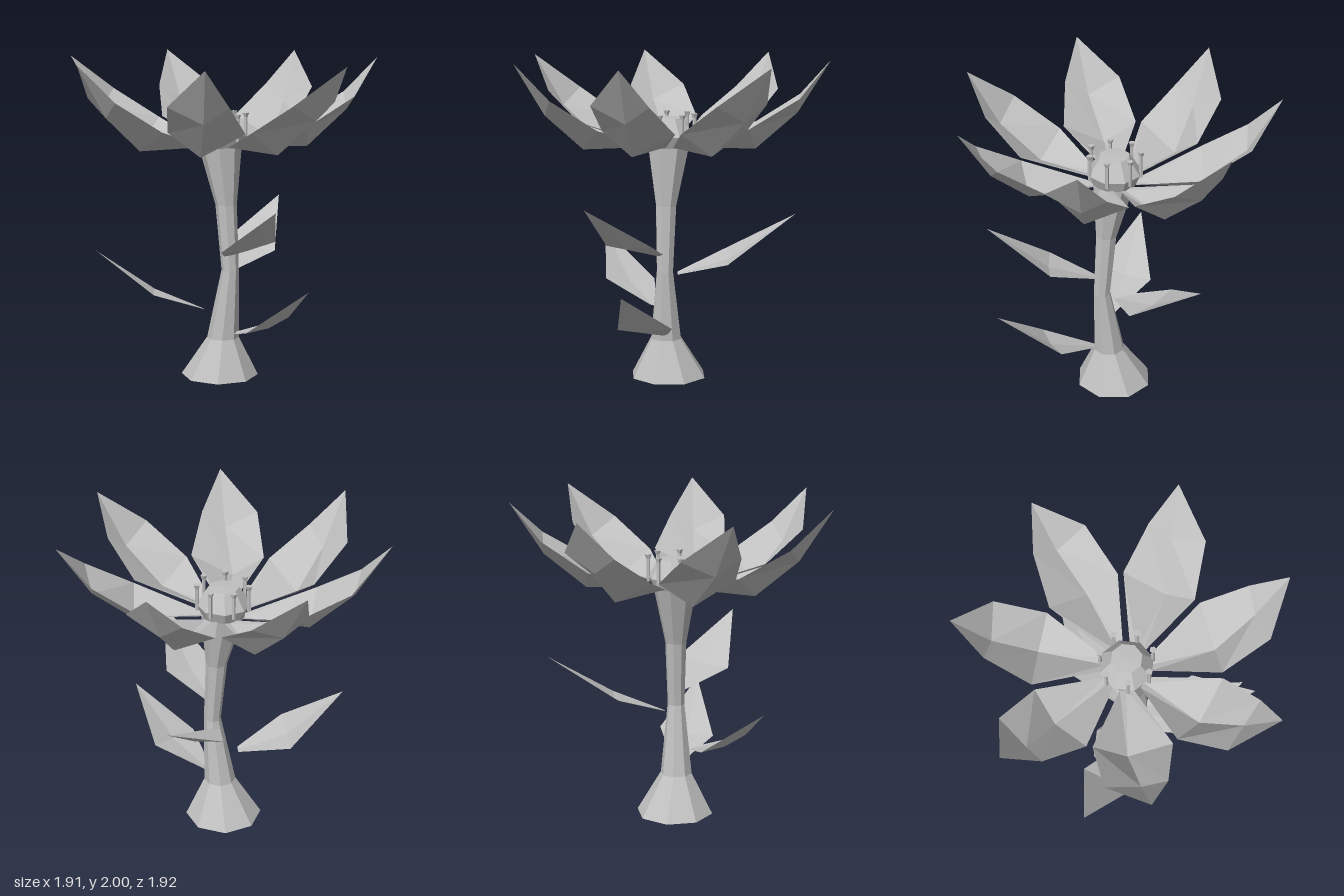
import * as THREE from 'three';

const grey = new THREE.MeshStandardMaterial({ color: 0xc0c0c0, flatShading: true, side: THREE.DoubleSide });
grey.name = 'grey';

// Surface stretched over rows of points; every row has the same length.
function loft(name, rows, closed = false) {
  const n = rows[0].length, index = [];
  for (let i = 0; i < rows.length - 1; i++) {
    for (let j = 0; j < (closed ? n : n - 1); j++) {
      const a = i * n + j, b = i * n + (j + 1) % n;
      index.push(a, a + n, b, b, a + n, b + n);
    }
  }
  const indexed = new THREE.BufferGeometry();
  indexed.setAttribute('position', new THREE.Float32BufferAttribute(rows.flat(2), 3));
  indexed.setIndex(index);
  const geometry = indexed.toNonIndexed();
  geometry.computeVertexNormals();
  const mesh = new THREE.Mesh(geometry, grey);
  mesh.name = name;
  return mesh;
}

// Eight-sided ring around (x, z) at height y.
const ring = ([x, y, z, r]) => Array.from({ length: 8 }, (_, k) => {
  const a = -k * Math.PI / 4;
  return [x + r * Math.cos(a), y, z + r * Math.sin(a)];
});

export function createModel() {
  const group = new THREE.Group();
  group.name = 'flower';
  const cx = -0.037, cz = -0.014, step = Math.PI * 2 / 7;

  // Curving stem with a flared, open foot
  group.add(loft('stem', [
    [-0.037, 0, -0.013, 0.243],
    [-0.003, 0.25, -0.01, 0.1],
    [0.05, 0.69, -0.022, 0.054],
    [0.018, 1.1, -0.017, 0.067],
    [-0.033, 1.46, -0.013, 0.134],
  ].map(ring), true));

  // Faceted flower centre
  group.add(loft('flowerCentre', [
    [cx, 1.46, cz, 0.134],
    [cx, 1.53, cz, 0.165],
    [cx, 1.64, cz, 0.095],
    [cx, 1.645, cz, 0.0001],
  ].map(ring), true));

  // Seven cupped petals: along x, sideways z
  const petalRows = [
    [[0.13, 1.47, -0.02], [0.13, 1.46, 0.02], [0.13, 1.47, 0.06]],
    [[0.537, 1.6, -0.193], [0.535, 1.46, 0.069], [0.495, 1.6, 0.265]],
    [[0.807, 1.78, -0.121], [0.79, 1.68, 0.027], [0.794, 1.78, 0.234]],
    [[0.99, 2, 0], [0.99, 2, 0], [0.99, 2, 0]],
  ];
  for (let k = 0; k < 7; k++) {
    const petal = loft('petal', petalRows);
    petal.position.set(cx, 0, cz);
    petal.rotation.y = 0.08 - k * step;
    group.add(petal);
  }

  // Seven stamens with flared five-sided heads
  for (let k = 0; k < 7; k++) {
    const stamen = new THREE.Group();
    stamen.name = 'stamen';
    const stalk = new THREE.Mesh(new THREE.CylinderGeometry(0.012, 0.012, 0.15, 5), grey);
    stalk.name = 'stamenStalk';
    stalk.position.y = 1.575;
    const head = new THREE.Mesh(new THREE.CylinderGeometry(0.022, 0.013, 0.025, 5), grey);
    head.name = 'stamenHead';
    head.position.y = 1.655;
    stamen.add(stalk, head);
    stamen.position.set(cx + 0.16 * Math.cos(k * step), 0, cz + 0.16 * Math.sin(k * step));
    stamen.rotation.y = -k * step;
    group.add(stamen);
  }

  // Four folded leaves: base point and tip on the ground plan
  const leaves = [
    [0.055, 0.78, 0, 0.71, 0.23],
    [0.08, 0.283, -0.025, 0.745, -0.015],
    [-0.03, 0.66, -0.075, -0.275, -0.765],
    [-0.06, 0.435, 0.1, -0.495, 0.615],
  ];
  for (const [x, y, z, tx, tz] of leaves) {
    const length = Math.hypot(tx - x, tz - z);
    const leaf = loft('leaf', [
      [[0, 0.01, -0.025], [0, 0, 0], [0, 0, 0.025]],
      [[0.31, 0.135, -0.178], [0.32, 0.098, 0], [0.31, 0.095, 0.178]],
      [[length, 0.385, 0], [length, 0.385, 0], [length, 0.385, 0]],
    ]);
    leaf.position.set(x, y, z);
    leaf.rotation.y = -Math.atan2(tz - z, tx - x);
    group.add(leaf);
  }
  return group;
}
